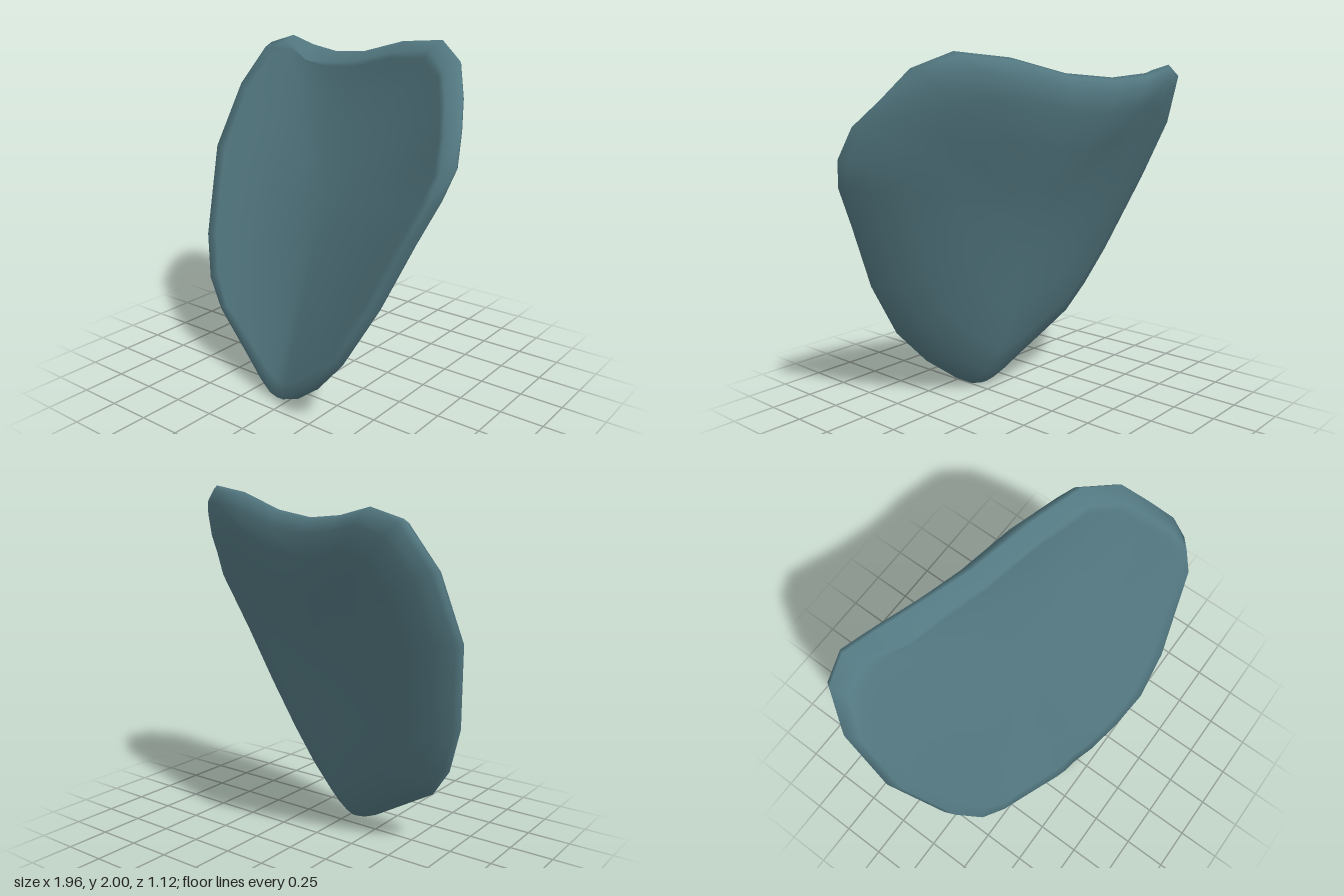
import * as THREE from 'three';
import { mergeVertices } from 'three/addons/utils/BufferGeometryUtils.js';

// Rim of the plate, counter-clockwise from the tip: x, y, z, front lip inset
const RIM = [
  [-0.05, 0, 0.35, 0.02], [0.01, 0.01, 0.37, 0.025], [0.1, 0.06, 0.41, 0.03], [0.29, 0.21, 0.47, 0.04],
  [0.48, 0.42, 0.51, 0.04], [0.67, 0.74, 0.49, 0.04], [0.83, 1.1, 0.43, 0.04], [0.94, 1.33, 0.39, 0.04],
  [0.98, 1.48, 0.33, 0.05], [0.95, 1.64, 0.25, 0.06], [0.88, 1.77, 0.12, 0.06], [0.79, 1.92, 0, 0.06],
  [0.62, 2, -0.12, 0.05], [0.32, 1.97, -0.22, 0.06], [0, 1.89, -0.32, 0.06], [-0.28, 1.865, -0.42, 0.07],
  [-0.5, 1.885, -0.485, 0.1], [-0.69, 1.93, -0.52, 0.04], [-0.84, 1.88, -0.48, 0.03], [-0.95, 1.65, -0.36, 0.03],
  [-0.98, 1.27, -0.15, 0.03], [-0.87, 0.75, 0.07, 0.03], [-0.77, 0.5, 0.17, 0.04], [-0.64, 0.32, 0.23, 0.06],
  [-0.5, 0.235, 0.26, 0.05], [-0.33, 0.13, 0.3, 0.04], [-0.2, 0.05, 0.33, 0.03], [-0.11, 0.01, 0.345, 0.02],
];
const CX = -0.02, CY = 1.1;

// Rings from the front centre, over the rim, to the back centre: scale, z offset
const FRONT = [[0, 0], [0.25, 0.003], [0.5, 0.015], [0.72, 0.035], [0.9, 0.063]];
const LIP = 0.07;
const BACK = [[1, 0], [0.98, -0.04], [0.9, -0.105], [0.75, -0.15], [0.5, -0.155], [0.25, -0.148], [0, -0.145]];

// Tilted, bowed middle surface
function bow(x, y) {
  const v = y - CY;
  return 0.03 + 0.3 * x - 0.395 * v + (0.25 - 0.12 * v) * x * x - 0.08 * v * v;
}

// Point on the ring of scale s, easing from the bow to the exact rim height
function ringPoint([px, py, pz], s, offset) {
  const x = CX + (px - CX) * s;
  const y = CY + (py - CY) * s;
  return [x, y, bow(x, y) + (pz - bow(px, py)) * s ** 4 + offset];
}

function plateGeometry() {
  const n = RIM.length;
  const rings = [
    ...FRONT.map(([s, o]) => RIM.map((p) => ringPoint(p, s, o))),
    RIM.map((p) => ringPoint(p, 1 - p[3], LIP)),
    ...BACK.map(([s, o]) => RIM.map((p) => ringPoint(p, s, o))),
  ];
  const index = [];
  for (let j = 0; j < rings.length - 1; j++) {
    for (let i = 0; i < n; i++) {
      const k = (i + 1) % n;
      const a = j * n + i, b = (j + 1) * n + i, c = (j + 1) * n + k, d = j * n + k;
      if (j < rings.length - 2) index.push(a, b, c);
      if (j > 0) index.push(a, c, d);
    }
  }
  let geometry = new THREE.BufferGeometry();
  geometry.setAttribute('position', new THREE.Float32BufferAttribute(rings.flat(2), 3));
  geometry.setIndex(index);
  geometry = mergeVertices(geometry, 1e-5);
  geometry.computeVertexNormals();
  return geometry;
}

export function createModel() {
  const group = new THREE.Group();
  group.name = 'curvedPlate';
  const material = new THREE.MeshStandardMaterial({ color: 0x537881 });
  const plate = new THREE.Mesh(plateGeometry(), material);
  plate.name = 'plate';
  group.add(plate);
  return group;
}
